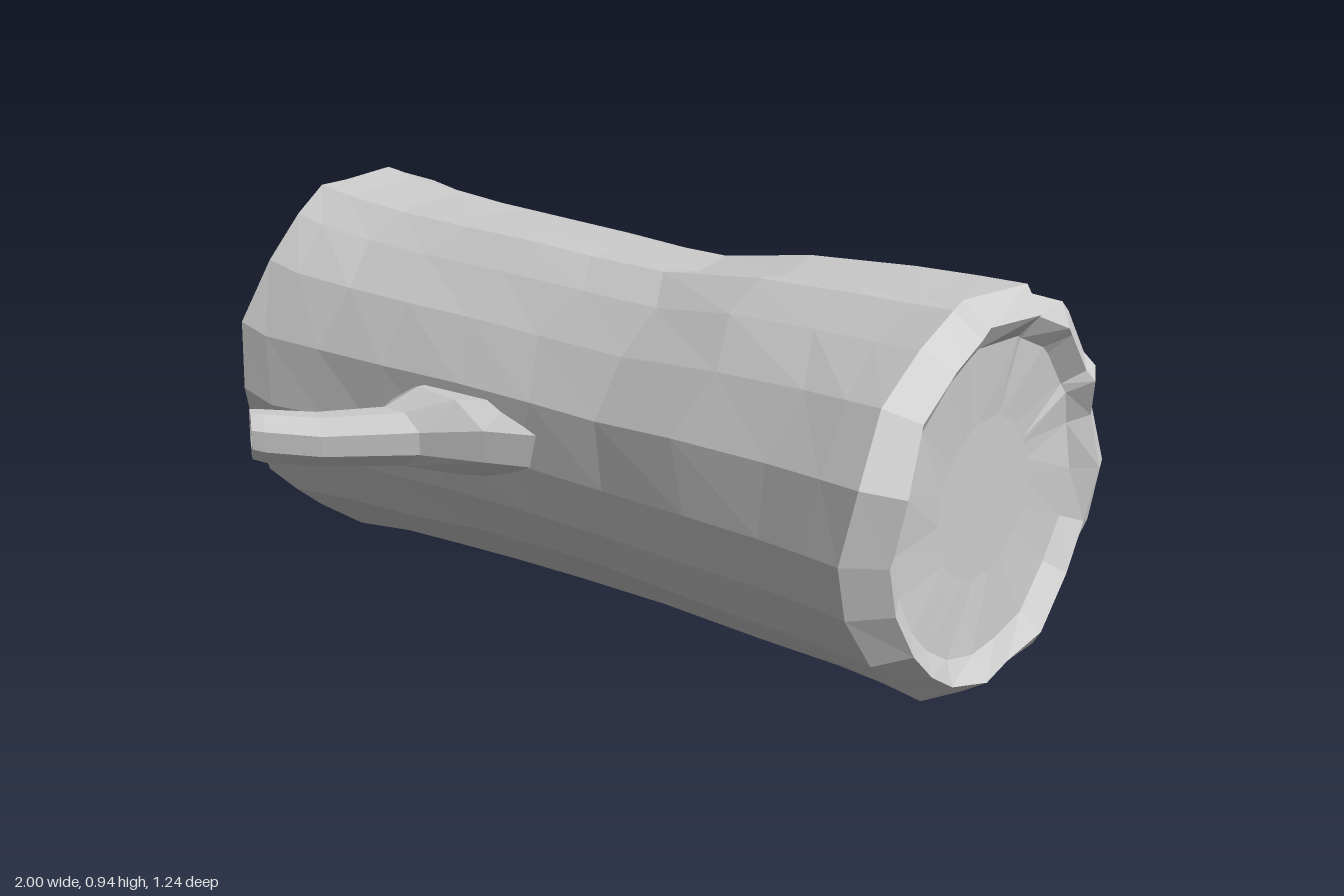
import * as THREE from 'three';

const material = new THREE.MeshStandardMaterial({ color: 0xcccccc, flatShading: true });

// Skins a closed body through equal-length loops of points, capped at both ends
function loft(name, loops) {
  const n = loops[0].length;
  const pts = loops.flat();
  const index = [];
  for (let i = 0; i < loops.length - 1; i++) {
    for (let j = 0; j < n; j++) {
      const a = i * n + j, b = i * n + (j + 1) % n;
      index.push(a, b, a + n, b, b + n, a + n);
    }
  }
  [0, loops.length - 1].forEach((i) => {
    const centre = new THREE.Vector3();
    loops[i].forEach((p) => centre.addScaledVector(p, 1 / n));
    const c = pts.push(centre) - 1;
    for (let j = 0; j < n; j++) {
      const a = i * n + j, b = i * n + (j + 1) % n;
      index.push(c, ...(i === 0 ? [b, a] : [a, b]));
    }
  });
  // Turn all faces outward using the sign of the enclosed volume
  let volume = 0;
  for (let t = 0; t < index.length; t += 3) {
    const [a, b, c] = [0, 1, 2].map((k) => pts[index[t + k]]);
    volume += a.dot(b.clone().cross(c));
  }
  if (volume < 0) index.reverse();
  const geometry = new THREE.BufferGeometry().setFromPoints(pts);
  geometry.setIndex(index);
  const flat = geometry.toNonIndexed();
  flat.computeVertexNormals();
  const mesh = new THREE.Mesh(flat, material);
  mesh.name = name;
  return mesh;
}

// Bark outline: degrees from the front upward, radius factor, and for the lip
// of an overlapping bark plate the x where it stands out most
const BARK = [
  [-4, 1], [17, 1], [39, 0.97], [58, 0.985], [72, 1.02, 0.55], [80, 1],
  [103, 1, 0.75], [108, 0.985], [124, 1.02, -0.6], [129, 1.005], [148, 0.98, 0.35],
  [152, 0.97], [166, 0.985], [184, 1.01], [202, 1.03], [220, 0.97], [242, 1.03],
  [258, 1.015], [276, 0.975], [291, 1.01], [309, 0.975], [323, 1, -0.5], [340, 1.01],
];

// One trunk ring: x, top, bottom, back, front; scale, jaggedness and tilt along x
function ring([x, top, bottom, back, front], scale = 1, jag = 0, tilt = 0) {
  return BARK.map(([degrees, k, lipX], j) => {
    const angle = THREE.MathUtils.degToRad(degrees);
    const lip = lipX === undefined ? 0 : 0.03 * Math.max(0, 1 - Math.abs(x - lipX) / 0.6);
    const bump = k + lip + 0.008 * Math.sin(degrees * 0.115 + x * 4);
    const r = scale < 1 ? scale * (0.7 + 0.3 * bump) : bump;
    return new THREE.Vector3(
      x + jag * Math.sin(j * 2.6 + x * 5) - tilt * Math.cos(angle),
      (top + bottom) / 2 + (top - bottom) / 2 * r * Math.sin(angle),
      (front + back) / 2 + (front - back) / 2 * r * Math.cos(angle));
  });
}

function trunk() {
  const left = [0.94, 0.01, -0.61, 0.31];
  const right = [0.935, 0.015, -0.615, 0.325];
  return loft('trunk', [
    // hollowed left end and its rim
    ring([-0.94, ...left], 0.4),
    ring([-0.95, ...left], 0.78, 0.005),
    ring([-0.987, ...left], 0.9, 0.013),
    ring([-0.965, 0.955, 0.04, -0.61, 0.31], 1, 0.015),
    // waisted body
    ring([-0.87, 0.94, 0.005, -0.61, 0.31], 1, 0.02),
    ring([-0.7, 0.92, 0.025, -0.605, 0.295], 1, 0.02),
    ring([-0.5, 0.91, 0.035, -0.595, 0.285], 1, 0.03),
    ring([-0.28, 0.905, 0.045, -0.575, 0.275], 1, 0.03),
    ring([-0.05, 0.895, 0.05, -0.565, 0.27], 1, 0.03),
    ring([0.18, 0.89, 0.05, -0.565, 0.275], 1, 0.03),
    ring([0.43, 0.92, 0.04, -0.585, 0.3], 1, 0.03),
    ring([0.67, 0.93, 0.035, -0.605, 0.315], 1, 0.03),
    ring([0.82, 0.935, 0.03, -0.615, 0.33], 1, 0.015, 0.02),
    // right rim, sloping back toward the front, and its hollowed end
    ring([0.93, 0.94, 0.02, -0.62, 0.34], 1, 0.015, 0.035),
    ring([0.982, ...right], 0.895, 0.013, 0.005),
    ring([0.945, ...right], 0.78, 0.005),
    ring([0.935, ...right], 0.4),
  ]);
}

// Branch stub: each loop has a centre, a half width along x and z, and a half height
function branch() {
  const sections = [
    [-0.22, 0.485, 0.2175, 0.28, 0.0175, 0.096],
    [-0.29, 0.485, 0.291, 0.17, 0.021, 0.092],
    [-0.355, 0.475, 0.365, 0.085, 0.005, 0.066],
    [-0.49, 0.47, 0.485, 0.05, 0.035, 0.06],
    [-0.585, 0.48, 0.572, 0.04, 0.03, 0.06],
    [-0.607, 0.485, 0.592, 0.036, 0.028, 0.056],
    [-0.607, 0.485, 0.592, 0.024, 0.018, 0.036],
    [-0.597, 0.485, 0.58, 0.016, 0.012, 0.026],
  ];
  const sides = 8;
  const toFlat = 1 / Math.cos(Math.PI / sides);
  return loft('branchStub', sections.map(([x, y, z, ux, uz, h]) =>
    Array.from({ length: sides }, (_, j) => {
      const angle = ((j + 0.5) / sides) * Math.PI * 2;
      const c = Math.cos(angle) * toFlat;
      const s = Math.sin(angle) * toFlat;
      return new THREE.Vector3(x + ux * c, y + h * s, z + uz * c);
    })));
}

export function createModel() {
  const group = new THREE.Group();
  group.name = 'log';
  group.add(trunk(), branch());
  return group;
}
